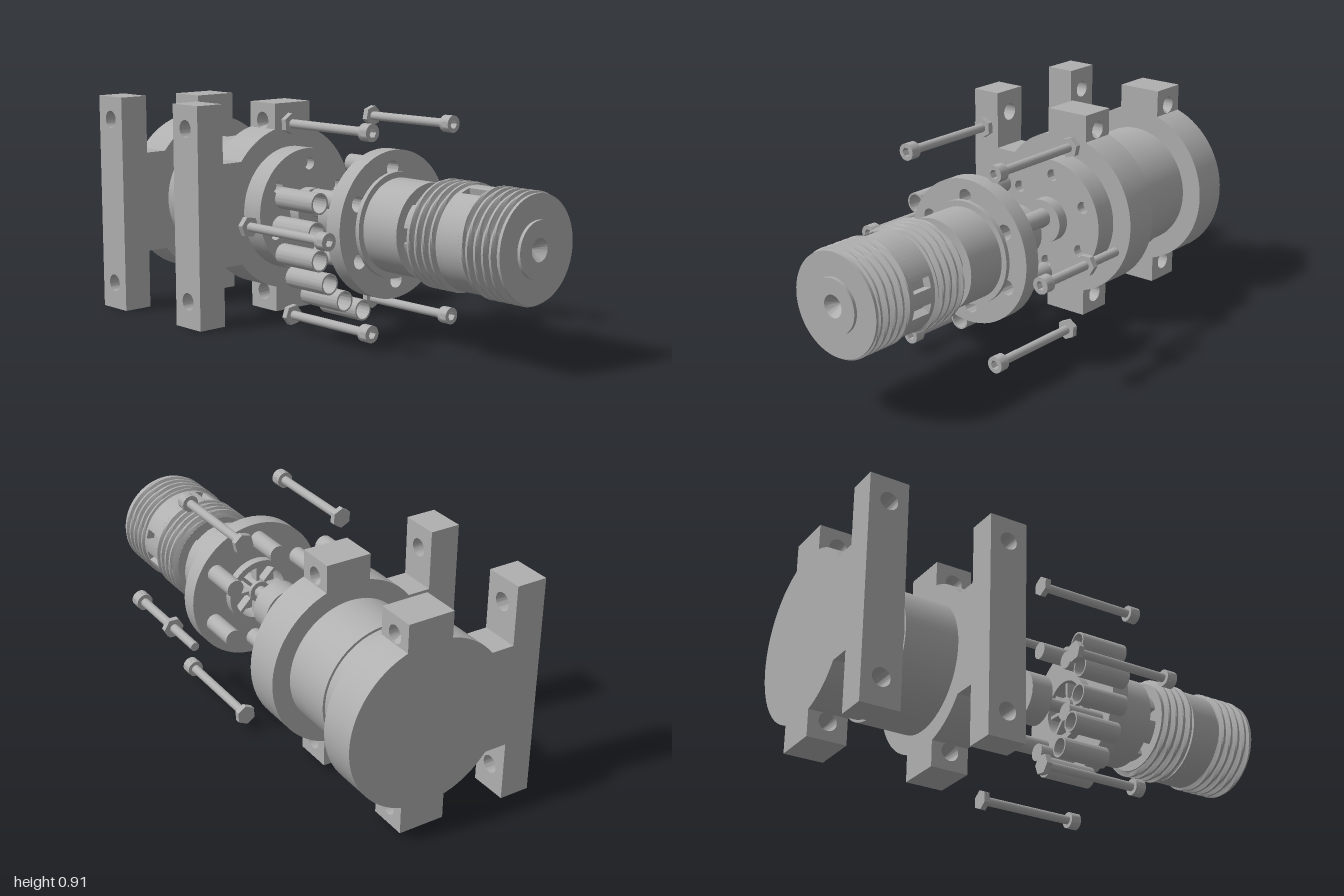
import * as THREE from 'three';
import { toCreasedNormals } from 'three/addons/utils/BufferGeometryUtils.js';

const Y = 0.455; // height of the main axis, which runs along x

export function createModel() {
  const model = new THREE.Group();
  const steel = new THREE.MeshStandardMaterial({ color: 0xb0b0b0 });
  steel.name = 'steel grey';

  const add = (name, geo, parent = model) => {
    const mesh = new THREE.Mesh(geo, steel);
    mesh.name = name;
    parent.add(mesh);
    return mesh;
  };
  // Solid cylinder along x
  const cyl = (r, x0, x1, y = Y, z = 0, sides = 48) =>
    new THREE.CylinderGeometry(r, r, x1 - x0, sides).rotateZ(-Math.PI / 2).translate((x0 + x1) / 2, y, z);
  // Extrusion along x; the shape is drawn in (-z, y)
  const prism = (shape, x0, x1, y = Y, z = 0) =>
    toCreasedNormals(new THREE.ExtrudeGeometry(shape, { depth: x1 - x0, bevelEnabled: false, curveSegments: 32 })
      .rotateY(Math.PI / 2).translate(x0, y, z), 0.5);
  // Turned part along x from [radius, x] pairs
  const lathe = (pts) => toCreasedNormals(
    new THREE.LatheGeometry(pts.map(([r, x]) => new THREE.Vector2(r, x)), 64)
      .rotateZ(-Math.PI / 2).translate(0, Y, 0), 0.5);
  const hole = (u, v, r) => new THREE.Path().absarc(u, v, r, 0, Math.PI * 2, true);
  const disc = (r, holes = []) => {
    const s = new THREE.Shape().absarc(0, 0, r, 0, Math.PI * 2, false);
    s.holes.push(...holes);
    return s;
  };
  const polygon = (r, n, Type = THREE.Shape) => new Type(Array.from({ length: n }, (_, i) =>
    new THREE.Vector2(r * Math.cos(i * 2 * Math.PI / n), r * Math.sin(i * 2 * Math.PI / n))));
  const sixAround = (r, start = 0) => Array.from({ length: 6 }, (_, i) => {
    const a = start + i * Math.PI / 3;
    return [r * Math.cos(a), r * Math.sin(a)];
  });

  // Block with holes bored along z
  const bored = (x0, x1, y0, y1, z0, z1, holeYs, r) => {
    const s = new THREE.Shape([[x0, y0], [x1, y0], [x1, y1], [x0, y1]].map((p) => new THREE.Vector2(...p)));
    for (const h of holeYs) s.holes.push(hole((x0 + x1) / 2, h, r));
    return toCreasedNormals(new THREE.ExtrudeGeometry(s, { depth: z1 - z0, bevelEnabled: false, curveSegments: 20 })
      .translate(0, 0, z0), 0.5);
  };

  // Two mounting brackets: disc with web, foot and clamping tabs
  for (const [x0, x1] of [[-1, -0.842], [-0.492, -0.335]]) {
    const bracket = new THREE.Group();
    bracket.name = 'mountingBracket';
    model.add(bracket);
    const a = Math.PI - Math.asin(0.211 / 0.34);
    const s = new THREE.Shape();
    s.moveTo(-0.361, -0.211);
    s.lineTo(0.34 * Math.cos(a), -0.211);
    s.absarc(0, 0, 0.34, -a, a, false);
    s.lineTo(-0.361, 0.211);
    s.closePath();
    add('bracketDisc', prism(s, x0, x1), bracket);
    add('bracketFoot', bored(x0, x1, 0, 0.906, 0.361, 0.487, [0.11, 0.81], 0.036), bracket);
    add('upperTab', bored(x0, x1, 0.75, 0.89, -0.107, 0.084, [0.815], 0.036), bracket);
    add('lowerTab', bored(x0, x1, 0.02, 0.16, -0.107, 0.084, [0.095], 0.036), bracket);
  }

  // Housing with bored front face, boss and shaft
  add('rearHousing', cyl(0.254, -0.86, -0.715, Y, 0, 64));
  add('middleHousing', cyl(0.264, -0.715, -0.48, Y, 0, 64));
  add('frontHousing', cyl(0.254, -0.35, -0.275, Y, 0, 64));
  add('frontFace', prism(disc(0.254, sixAround(0.19, 0.45).map(([u, v]) => hole(u, v, 0.025))), -0.275, -0.235));
  add('shaftBoss', cyl(0.093, -0.24, -0.185));
  add('driveShaft', cyl(0.026, -0.19, 0.21, Y, 0, 24));
  add('shaftCollar', cyl(0.105, -0.055, 0.04));

  // Flange with pin holes and a spoked insert
  const pins = sixAround(0.222, Math.PI / 2 + 0.05);
  add('flange', prism(disc(0.293, [hole(0, 0, 0.135), ...pins.map(([u, v]) => hole(u, v, 0.031))]), 0.2, 0.272));
  add('insertRim', prism(disc(0.14, [hole(0, 0, 0.115)]), 0.165, 0.25));
  add('insertHub', cyl(0.045, 0.165, 0.27, Y, 0, 24));
  for (let i = 0; i < 4; i++) {
    add('insertSpoke', new THREE.BoxGeometry(0.04, 0.25, 0.014).translate(0.2, 0, 0)
      .rotateX(i * Math.PI / 4).translate(0, Y, 0));
  }
  for (const [u, v] of pins) add('flangePin', cyl(0.036, 0.04, 0.205, Y + v, -u, 24));
  add('flangeStep', cyl(0.21, 0.27, 0.29));
  add('hubBody', cyl(0.186, 0.288, 0.466, Y, 0, 64));

  // Slotted neck
  add('neckCore', cyl(0.075, 0.46, 0.53, Y, 0, 32));
  for (let i = 0; i < 6; i++) {
    const a = (i + 0.5) * Math.PI / 3, h = 0.33;
    const s = new THREE.Shape();
    s.absarc(0, 0, 0.148, a - h, a + h, false);
    s.absarc(0, 0, 0.1, a + h, a - h, true);
    add('neckFinger', prism(s, 0.46, 0.53));
  }

  // Threaded sleeve: turned core, slotted band and helical ridges
  add('sleeveCore', lathe([[0, 0.522], [0.188, 0.522], [0.188, 0.68], [0.2, 0.68], [0.2, 0.7], [0.165, 0.7],
    [0.165, 0.79], [0.2, 0.79], [0.2, 0.805], [0.188, 0.805], [0.188, 0.97], [0.203, 0.975], [0.203, 0.987],
    [0.108, 0.987], [0.108, 1], [0.044, 1], [0.026, 0.975], [0, 0.955]]));
  const slots = [-15, 15, 109].map((d) => d * Math.PI / 180);
  const band = new THREE.Shape();
  slots.forEach((a, i) => {
    const h = 0.11, next = i < 2 ? slots[i + 1] : slots[0] + Math.PI * 2;
    band.absarc(0, 0, 0.165, a - h, a + h, false);
    band.absarc(0, 0, 0.2, a + h, next - h, false);
  });
  add('slottedBand', prism(band, 0.7, 0.79));

  const thread = (x0, x1, pitch) => {
    const len = x1 - x0;
    const g = new THREE.CylinderGeometry(1, 1, len, 64, Math.round(len / pitch * 8), true);
    const p = g.attributes.position;
    for (let i = 0; i < p.count; i++) {
      const y = p.getY(i), a = Math.atan2(p.getX(i), p.getZ(i));
      let t = y / pitch + a / (2 * Math.PI);
      t -= Math.floor(t);
      const ridge = Math.min(1, Math.max(0, 1.8 - Math.abs(t - 0.5) * 5));
      const fade = Math.min(1, (len / 2 - Math.abs(y)) / 0.008);
      const r = 0.186 + 0.024 * ridge * fade;
      p.setXYZ(i, r * Math.sin(a), y, r * Math.cos(a));
    }
    return toCreasedNormals(g.rotateZ(-Math.PI / 2).translate((x0 + x1) / 2, Y, 0), 0.5);
  };
  add('innerThread', thread(0.522, 0.685, 0.037));
  add('outerThread', thread(0.8, 0.985, 0.037));

  // Loose hollow sleeves
  for (const [z, y] of [[0.335, 0.565], [0.351, 0.455], [0.335, 0.345], [0.284, 0.248], [0.206, 0.17], [0.107, 0.12]]) {
    add('looseSleeve', prism(disc(0.042, [hole(0, 0, 0.035)]), 0, 0.208, y, z));
  }

  // Six socket bolts with nuts; one nut is part way along its bolt
  sixAround(0.443).forEach(([u, v], i) => {
    const bolt = new THREE.Group();
    bolt.name = 'bolt';
    bolt.position.set(0, Y + v, -u);
    model.add(bolt);
    const nutX = i === 0 ? 0.08 : -0.094;
    add('boltShank', cyl(0.018, -0.09, 0.345, 0, 0, 20), bolt);
    const head = disc(0.034);
    head.holes.push(polygon(0.019, 6, THREE.Path));
    add('boltHead', prism(head, 0.345, 0.375, 0), bolt);
    add('boltHeadBase', cyl(0.034, 0.33, 0.346, 0, 0, 24), bolt);
    add('nut', prism(polygon(0.042, 6), nutX, nutX + 0.024, 0).rotateX(i * 0.3), bolt);
  });

  return model;
}
